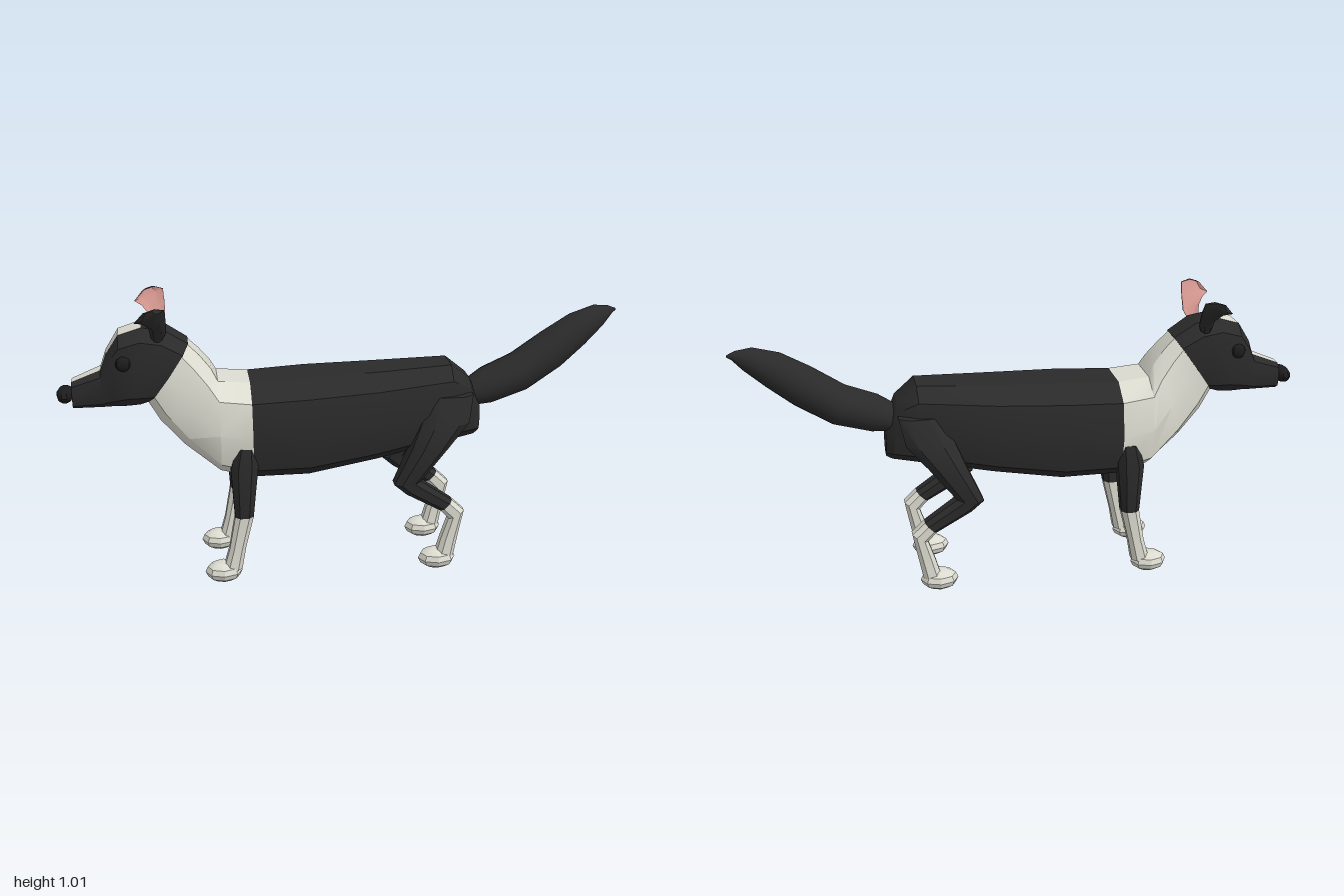
import * as THREE from 'three';
import { toCreasedNormals } from 'three/addons/utils/BufferGeometryUtils.js';

const mat = (name, color) => {
  const m = new THREE.MeshStandardMaterial({ color });
  m.name = name;
  return m;
};

// Skin over rings. Each section is [x1, y1, x2, y2, z, halfWidth]: two opposite
// profile points, the centre depth and the half width along z.
function loft(sections, { n = 10, power = 0.8, bow = 0, keep = () => true, caps = true } = {}) {
  const top = Math.cos(Math.PI / n) ** power;
  const shape = (v) => Math.sign(v) * Math.abs(v) ** power;
  const centre = ([x1, y1, x2, y2, z]) => [(x1 + x2) / 2, (y1 + y2) / 2, z];
  const rings = sections.map((s) => {
    const [cx, cy, cz] = centre(s);
    return Array.from({ length: n }, (_, j) => {
      const a = ((j + 0.5) / n) * Math.PI * 2;
      const v = shape(Math.cos(a)) / top, u = shape(Math.sin(a));
      return [cx + ((s[0] - s[2]) / 2) * v, cy + ((s[1] - s[3]) / 2) * v,
        cz + u * s[5] + bow * Math.sin(a) ** 2];
    });
  });
  const a = centre(sections[0]), b = centre(sections[1]), s = sections[0];
  const flip = (s[1] - s[3]) * (b[0] - a[0]) - (s[0] - s[2]) * (b[1] - a[1]) < 0;
  const pos = [];
  const tri = (p, q, r) => pos.push(...p, ...(flip ? r : q), ...(flip ? q : r));
  const last = rings.length - 1;
  for (let j = 0; j < n; j++) {
    const k = (j + 1) % n;
    for (let i = 0; i < last; i++) {
      if (!keep(i, j)) continue;
      tri(rings[i][j], rings[i][k], rings[i + 1][k]);
      tri(rings[i][j], rings[i + 1][k], rings[i + 1][j]);
    }
    if (caps) {
      tri(centre(sections[0]), rings[0][k], rings[0][j]);
      tri(centre(sections[last]), rings[last][j], rings[last][k]);
    }
  }
  const g = new THREE.BufferGeometry();
  g.setAttribute('position', new THREE.Float32BufferAttribute(pos, 3));
  return toCreasedNormals(g, 0.55);
}

export function createModel() {
  const black = mat('blackFur', 0x2a2a2a);
  const white = mat('whiteFur', 0xdcdbd0);
  const pink = mat('innerEarPink', 0xd0948c);
  const dark = mat('noseAndEyeBlack', 0x1c1c1c);

  const dog = new THREE.Group();
  dog.name = 'dog';
  const add = (name, geometry, material, parent = dog) => {
    const m = new THREE.Mesh(geometry, material);
    m.name = name;
    parent.add(m);
    return m;
  };
  const ball = (name, material, r, p, parent = dog, w = 10, h = 8) => {
    const g = new THREE.SphereGeometry(1, w, h);
    g.scale(...r);
    g.translate(...p);
    return add(name, toCreasedNormals(g, 0.55), material, parent);
  };

  // Trunk
  add('body', loft([
    [-0.34, 0.72, -0.34, 0.37, 0, 0.175],
    [-0.14, 0.73, -0.14, 0.37, 0, 0.18],
    [0.1, 0.735, 0.1, 0.41, 0, 0.167],
    [0.37, 0.745, 0.36, 0.46, 0, 0.13],
    [0.44, 0.69, 0.46, 0.475, 0, 0.09],
    [0.48, 0.6, 0.48, 0.48, 0, 0.05],
  ], { power: 0.75 }), black);

  // White chest and neck
  add('chestAndNeck', loft([
    [-0.34, 0.72, -0.34, 0.37, 0, 0.175],
    [-0.45, 0.73, -0.45, 0.4, 0, 0.17],
    [-0.47, 0.77, -0.57, 0.5, 0, 0.135],
    [-0.51, 0.82, -0.65, 0.59, 0, 0.11],
    [-0.55, 0.86, -0.69, 0.66, 0, 0.1],
  ], { power: 0.75 }), white);

  // Head, with a white blaze along the top and a white chin
  const headSections = [
    [-0.545, 0.86, -0.685, 0.66, 0, 0.102],
    [-0.62, 0.91, -0.715, 0.652, 0, 0.11],
    [-0.7, 0.925, -0.745, 0.65, 0, 0.11],
    [-0.78, 0.9, -0.775, 0.647, 0, 0.1],
    [-0.825, 0.83, -0.81, 0.645, 0, 0.078],
    [-0.845, 0.775, -0.845, 0.642, 0, 0.064],
    [-0.945, 0.735, -0.945, 0.64, 0, 0.048],
  ];
  const blaze = (i, j) => i >= 2 && j === 9;
  const chin = (i, j) => j === 4;
  const headPart = (keep, caps) => loft(headSections, { power: 0.7, keep, caps });
  add('head', headPart((i, j) => !blaze(i, j) && !chin(i, j), true), black);
  add('blaze', headPart(blaze, false), white);
  add('chin', headPart(chin, false), white);
  ball('nose', dark, [0.03, 0.028, 0.058], [-0.97, 0.685, 0]);

  // Bushy tail, drifting a little to one side
  add('tail', loft([
    [0.44, 0.665, 0.47, 0.575, -0.005, 0.06],
    [0.5, 0.705, 0.53, 0.58, -0.01, 0.076],
    [0.61, 0.75, 0.66, 0.62, -0.02, 0.08],
    [0.72, 0.825, 0.785, 0.7, -0.025, 0.074],
    [0.82, 0.885, 0.875, 0.775, -0.033, 0.06],
    [0.91, 0.913, 0.945, 0.84, -0.043, 0.038],
    [0.965, 0.908, 0.98, 0.88, -0.05, 0.016],
    [0.995, 0.896, 0.995, 0.89, -0.054, 0.004],
  ], { n: 16, power: 1 }), black);

  for (const s of [1, -1]) {
    const place = (rows) => rows.map(([x1, y1, x2, y2, z, w]) => [x1, y1, x2, y2, z * s, w]);

    ball('eye', dark, [0.026, 0.026, 0.018], [-0.765, 0.815, 0.098 * s]);

    // Ear: thin curled leaf with a pink inner face
    const ear = new THREE.Group();
    ear.name = 'ear';
    dog.add(ear);
    const earRows = place([
      [-0.665, 0.88, -0.635, 0.88, 0.068, 0.005],
      [-0.675, 0.935, -0.617, 0.915, 0.092, 0.006],
      [-0.695, 0.957, -0.616, 0.965, 0.115, 0.006],
      [-0.72, 0.967, -0.62, 1.008, 0.138, 0.005],
      [-0.69, 1.002, -0.65, 1.015, 0.146, 0.003],
    ]);
    const inner = (i, j) => Math.sin(((j + 1) / 8) * Math.PI * 2) * s < -0.1;
    const earPart = (keep, caps) => loft(earRows, { n: 8, bow: 0.014 * s, keep, caps });
    add('outerEar', earPart((i, j) => !inner(i, j), true), black, ear);
    add('innerEar', earPart(inner, false), pink, ear);

    // Front leg
    const front = new THREE.Group();
    front.name = 'frontLeg';
    dog.add(front);
    add('upperFrontLeg', loft(place([
      [-0.4, 0.51, -0.33, 0.51, 0.125, 0.045],
      [-0.42, 0.43, -0.325, 0.44, 0.133, 0.052],
      [-0.41, 0.25, -0.345, 0.25, 0.133, 0.036],
    ]), { n: 8 }), black, front);
    add('lowerFrontLeg', loft(place([
      [-0.41, 0.25, -0.345, 0.25, 0.133, 0.036],
      [-0.432, 0.13, -0.375, 0.13, 0.133, 0.031],
      [-0.455, 0.05, -0.39, 0.05, 0.133, 0.036],
    ]), { n: 8 }), white, front);
    ball('frontPaw', white, [0.066, 0.038, 0.053], [-0.455, 0.038, 0.133 * s], front, 8, 6);

    // Hind leg
    const hind = new THREE.Group();
    hind.name = 'hindLeg';
    dog.add(hind);
    add('thighAndShin', loft(place([
      [0.29, 0.65, 0.44, 0.65, 0.09, 0.045],
      [0.25, 0.56, 0.42, 0.56, 0.115, 0.065],
      [0.215, 0.475, 0.345, 0.475, 0.133, 0.064],
      [0.155, 0.34, 0.25, 0.35, 0.133, 0.045],
      [0.2, 0.3, 0.27, 0.335, 0.133, 0.04],
      [0.325, 0.228, 0.365, 0.268, 0.133, 0.034],
    ]), { n: 8 }), black, hind);
    add('hockAndShank', loft(place([
      [0.325, 0.228, 0.365, 0.268, 0.133, 0.034],
      [0.355, 0.195, 0.41, 0.225, 0.133, 0.033],
      [0.33, 0.12, 0.39, 0.125, 0.133, 0.031],
      [0.31, 0.05, 0.375, 0.05, 0.133, 0.036],
    ]), { n: 8 }), white, hind);
    ball('hindPaw', white, [0.068, 0.038, 0.053], [0.317, 0.038, 0.133 * s], hind, 8, 6);
  }
  return dog;
}
